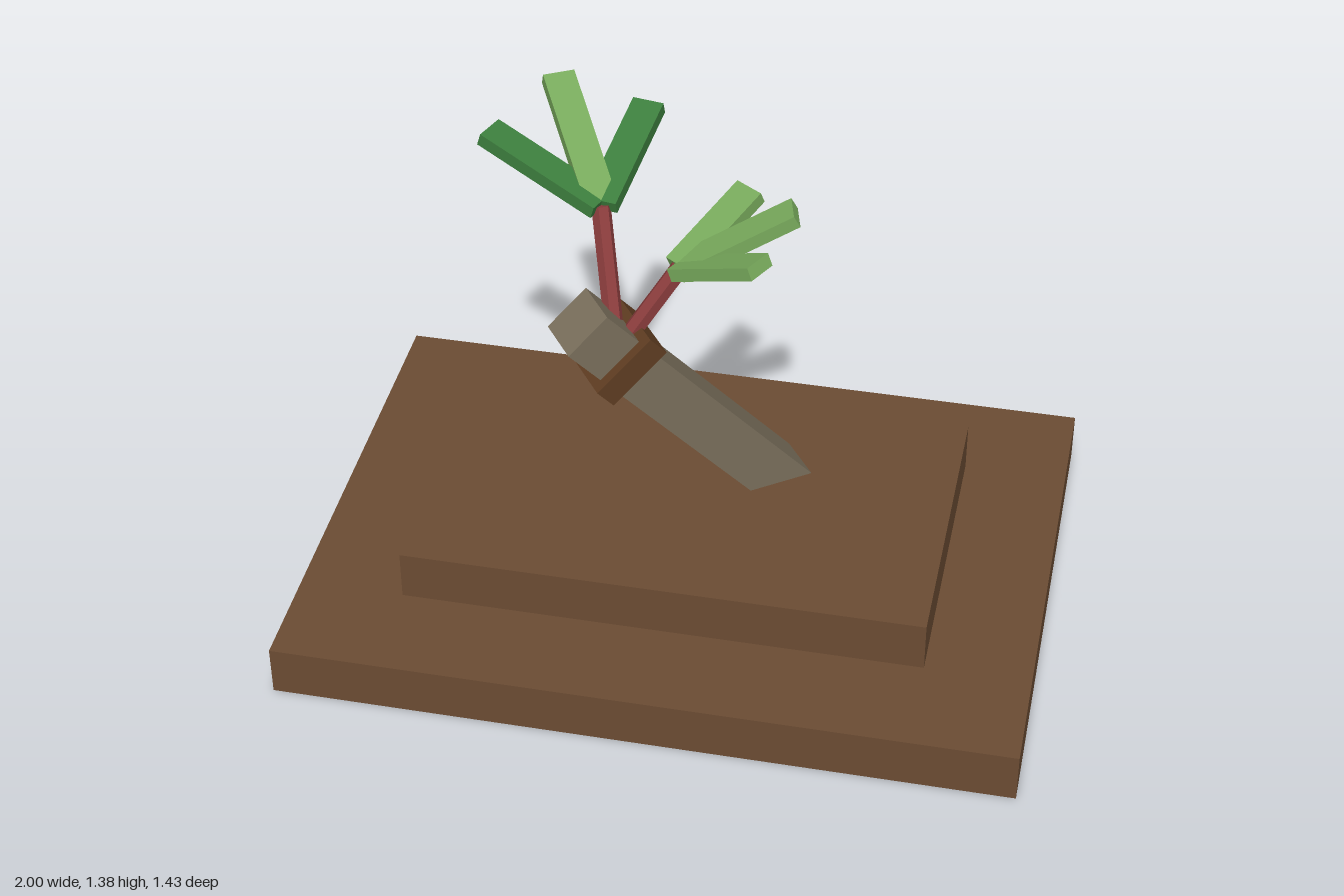
import * as THREE from 'three';

const mat = (name, color) => {
  const m = new THREE.MeshStandardMaterial({ color, flatShading: true });
  m.name = name;
  return m;
};

export function createModel() {
  const soil = mat('soil brown', 0x6b4c33);
  const bark = mat('grey bark', 0x7a6f5c);
  const band = mat('collar brown', 0x5f3d22);
  const red = mat('stem red', 0x8f3f3f);
  const darkGreen = mat('dark green', 0x3d7f3e);
  const lightGreen = mat('light green', 0x78aa5c);

  const model = new THREE.Group();
  const V = (p) => new THREE.Vector3(...p);

  const add = (parent, name, geometry, material) => {
    const mesh = new THREE.Mesh(geometry, material);
    mesh.name = name;
    parent.add(mesh);
    return mesh;
  };

  // Box running from a to b, its width staying horizontal
  const beam = (parent, name, a, b, width, thick, material) => {
    const from = V(a), to = V(b);
    const mesh = add(parent, name, new THREE.BoxGeometry(width, thick, from.distanceTo(to)), material);
    mesh.position.copy(from).lerp(to, 0.5);
    mesh.lookAt(to);
    return mesh;
  };

  // Stepped ground
  add(model, 'groundSlab', new THREE.BoxGeometry(2, 0.143, 1.428), soil).position.y = 0.0715;
  add(model, 'upperSlab', new THREE.BoxGeometry(1.428, 0.143, 0.857), soil).position.y = 0.2145;

  // Leaning trunk, sunk into the ground, with a collar round it
  const foot = V([0.195, 0.286, -0.14]);
  const top = V([-0.263, 0.96, 0.19]);
  const along = (t) => foot.clone().lerp(top, t).toArray();
  beam(model, 'trunk', along(-0.2), along(1), 0.143, 0.143, bark);
  beam(model, 'collar', along(0.765), along(0.845), 0.198, 0.198, band);

  // Sprouts: a six-sided stem with three flat leaves fanning from its tip
  const sprouts = [
    {
      name: 'rightSprout', root: [-0.185, 0.88, 0.105], tip: [-0.238, 1.205, 0.005],
      leaves: [
        [[-0.565, 1.315, -0.11], darkGreen],
        [[-0.43, 1.365, -0.335], lightGreen],
        [[-0.182, 1.312, -0.328], darkGreen],
      ],
    },
    {
      name: 'leftSprout', root: [-0.15, 0.87, 0.117], tip: [-0.015, 1.09, 0.08],
      leaves: [
        [[0.13, 1.207, -0.135], lightGreen],
        [[0.272, 1.252, 0.005], lightGreen],
        [[0.215, 1.207, 0.196], lightGreen],
      ],
    },
  ];
  for (const { name, root, tip, leaves } of sprouts) {
    const sprout = new THREE.Group();
    sprout.name = name;
    model.add(sprout);
    const from = V(root), to = V(tip);
    const stem = add(sprout, 'stem', new THREE.CylinderGeometry(0.026, 0.026, from.distanceTo(to), 6), red);
    stem.position.copy(from).lerp(to, 0.5);
    stem.quaternion.setFromUnitVectors(new THREE.Vector3(0, 1, 0), to.clone().sub(from).normalize());
    leaves.forEach(([end, green], i) => beam(sprout, 'leaf' + (i + 1), tip, end, 0.086, 0.036, green));
  }

  return model;
}
